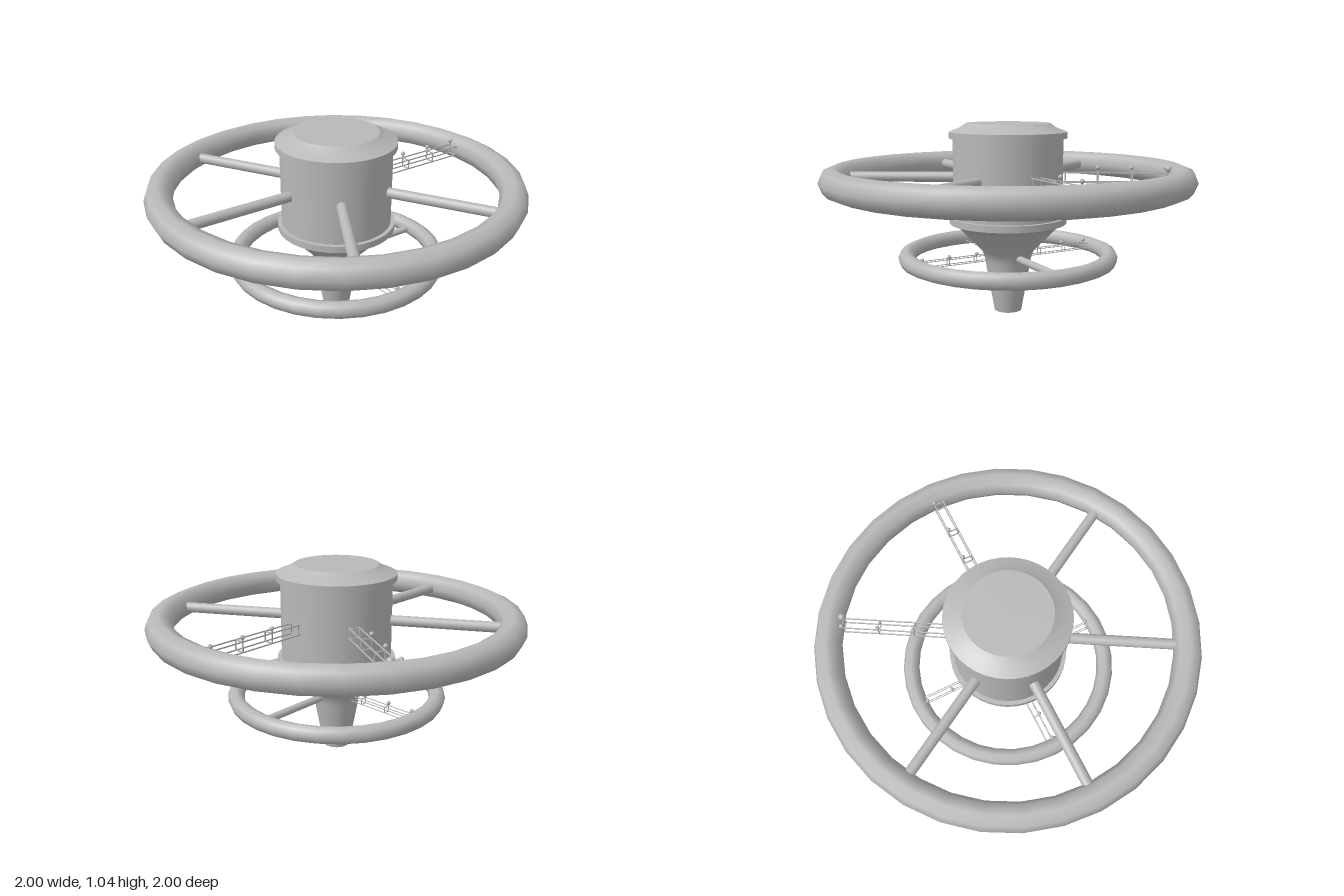
import * as THREE from 'three';

const grey = new THREE.MeshStandardMaterial({ color: 0xb8b8b8 });
grey.name = 'hull grey';

function add(parent, name, geometry, x = 0, y = 0, z = 0) {
  const mesh = new THREE.Mesh(geometry, grey);
  mesh.name = name;
  mesh.position.set(x, y, z);
  parent.add(mesh);
  return mesh;
}

// Smooth surface of revolution; separate calls keep the edges between them sharp
function lathe(parent, name, points) {
  return add(parent, name, new THREE.LatheGeometry(points.map(p => new THREE.Vector2(...p)), 40));
}

function ring(parent, name, radius, tube, y) {
  const geometry = new THREE.TorusGeometry(radius, tube, 8, 32).rotateX(Math.PI / 2);
  return add(parent, name, geometry, 0, y, 0);
}

// Solid spoke along local +x
function spoke(parent, name, from, to, radius) {
  const geometry = new THREE.CylinderGeometry(radius, radius, to - from, 16).rotateZ(-Math.PI / 2);
  return add(parent, name, geometry, (from + to) / 2, 0, 0);
}

// Open lattice spoke along local +x: four rods, square frames, and small balls on one side
function truss(parent, from, to, half, frames, balls) {
  const t = half * 0.22;
  for (const sy of [-1, 1]) for (const sz of [-1, 1]) {
    add(parent, 'trussRod', new THREE.BoxGeometry(to - from, t, t), (from + to) / 2, sy * half, sz * half);
  }
  for (const x of frames) for (const s of [-1, 1]) {
    add(parent, 'trussRung', new THREE.BoxGeometry(t, t, half * 2), x, s * half, 0);
    add(parent, 'trussPost', new THREE.BoxGeometry(t, half * 2, t), x, 0, s * half);
  }
  for (const [x, side, radius] of balls) {
    add(parent, 'trussPin', new THREE.BoxGeometry(t, half, t), x, half * 1.4, side * half);
    add(parent, 'trussBall', new THREE.SphereGeometry(radius, 10, 8), x, half * 1.9, side * half);
  }
}

function arm(parent, name, degrees, y) {
  const group = new THREE.Group();
  group.name = name;
  group.position.y = y;
  group.rotation.y = THREE.MathUtils.degToRad(degrees);
  parent.add(group);
  return group;
}

export function createModel() {
  const model = new THREE.Group();
  model.name = 'ringStation';

  // Central hull, from the foot up to the cap
  const hull = new THREE.Group();
  hull.name = 'hull';
  model.add(hull);
  lathe(hull, 'footBase', [[0, 0], [0.075, 0]]);
  lathe(hull, 'foot', [[0.075, 0], [0.12, 0.25]]);
  lathe(hull, 'funnel', [[0.12, 0.25], [0.126, 0.29], [0.142, 0.34], [0.26, 0.462], [0.282, 0.483], [0.315, 0.497]]);
  lathe(hull, 'drum', [[0.298, 0.53], [0.298, 0.96]]);
  for (const [name, low, high] of [['lowerFlange', 0.497, 0.533], ['upperFlange', 0.957, 0.99]]) {
    lathe(hull, name + 'Underside', [[0.29, low], [0.32, low]]);
    lathe(hull, name + 'Rim', [[0.32, low], [0.32, high]]);
    lathe(hull, name + 'Top', [[0.32, high], [0.29, high]]);
  }
  lathe(hull, 'capSlope', [[0.32, 0.99], [0.262, 1.012], [0.225, 1.037]]);
  lathe(hull, 'capTop', [[0.225, 1.037], [0, 1.037]]);

  // Large upper ring: four solid spokes and two lattice spokes
  const bigY = 0.745;
  ring(model, 'largeRing', 0.927, 0.073, bigY);
  for (const angle of [120, 180, 240, 300]) {
    spoke(arm(model, 'largeSpoke', angle, bigY), 'spokeTube', 0.28, 0.88, 0.028);
  }
  for (const angle of [0, 60]) {
    const balls = [[0.486, -1, 0.012], [0.67, -1, 0.012], [0.855, -1, 0.012]];
    if (angle === 60) balls.push([0.86, 1, 0.019]);
    truss(arm(model, 'largeTruss', angle, bigY), 0.29, 0.88, 0.026, [0.31, 0.486, 0.67, 0.855], balls);
  }

  // Small lower ring: one solid spoke and three lattice spokes
  const smallY = 0.312;
  ring(model, 'smallRing', 0.556, 0.045, smallY);
  spoke(arm(model, 'smallSpoke', 0, smallY), 'spokeTube', 0.11, 0.53, 0.02);
  for (const angle of [90, 180, 270]) {
    truss(arm(model, 'smallTruss', angle, smallY), 0.12, 0.53, 0.016, [0.2, 0.36, 0.512],
      [[0.2, -1, 0.011], [0.36, -1, 0.011], [0.512, -1, 0.011]]);
  }
  return model;
}
